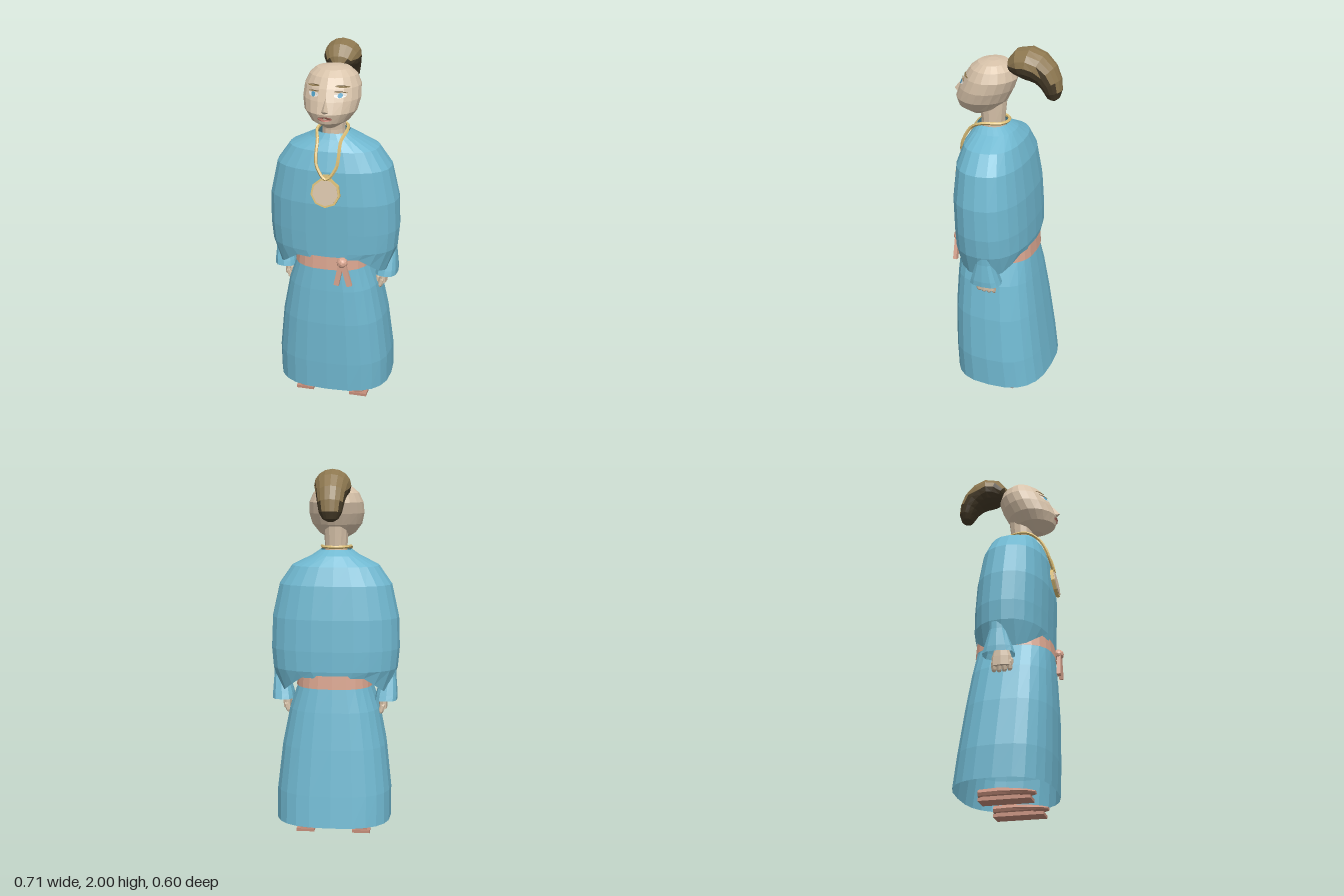
import * as THREE from 'three';

const mat = (name, color, side = THREE.FrontSide) => {
  const m = new THREE.MeshStandardMaterial({ color, side });
  m.name = name;
  return m;
};

// Gives every facet its own normal
function flat(g) {
  const f = g.index ? g.toNonIndexed() : g;
  f.computeVertexNormals();
  return f;
}

// Skins a stack of closed rings, listed from bottom to top
function loft(rings, capStart = false, capEnd = false) {
  const n = rings[0].length, pos = rings.flat().flatMap(p => p.toArray()), idx = [];
  for (let i = 0; i < rings.length - 1; i++) {
    for (let j = 0; j < n; j++) {
      const a = i * n + j, b = i * n + (j + 1) % n;
      idx.push(a, a + n, b, b, a + n, b + n);
    }
  }
  const cap = (ring, start, flip) => {
    const c = ring.reduce((s, p) => s.add(p), new THREE.Vector3()).divideScalar(n);
    const k = pos.length / 3;
    pos.push(c.x, c.y, c.z);
    for (let j = 0; j < n; j++) {
      const a = start + j, b = start + (j + 1) % n;
      if (flip) idx.push(k, b, a); else idx.push(k, a, b);
    }
  };
  if (capStart) cap(rings[0], 0, false);
  if (capEnd) cap(rings[rings.length - 1], (rings.length - 1) * n, true);
  const g = new THREE.BufferGeometry();
  g.setAttribute('position', new THREE.Float32BufferAttribute(pos, 3));
  g.setIndex(idx);
  return flat(g);
}

// Horizontal rounded ring: half width w, from zBack to zFront, roundness p
function ring([y, w, zFront, zBack], n, p, cx = 0) {
  const mid = (zFront + zBack) / 2, d = (zFront - zBack) / 2, out = [];
  for (let j = 0; j < n; j++) {
    const t = (j / n) * Math.PI * 2, c = Math.cos(t), s = Math.sin(t);
    out.push(new THREE.Vector3(
      cx + w * Math.sign(c) * Math.abs(c) ** (2 / p), y,
      mid + d * Math.sign(s) * Math.abs(s) ** (2 / p)));
  }
  return out;
}

// Head rows: y, half width, front z, back z
const HEAD = [
  [1.607, 0.03, 0.2, 0.13], [1.65, 0.1, 0.272, 0.04], [1.7, 0.138, 0.284, 0],
  [1.76, 0.152, 0.262, -0.03], [1.82, 0.148, 0.234, -0.05], [1.87, 0.125, 0.2, -0.035],
  [1.9, 0.09, 0.16, 0.0], [1.911, 0.03, 0.11, 0.05]];
const HEAD_P = 1.85;

// Front surface of the face at x, y
function faceZ(x, y) {
  let i = 0;
  while (i < HEAD.length - 2 && y > HEAD[i + 1][0]) i++;
  const t = (y - HEAD[i][0]) / (HEAD[i + 1][0] - HEAD[i][0]);
  const [, w, f, b] = HEAD[i].map((v, k) => v + (HEAD[i + 1][k] - v) * t);
  return (f + b) / 2 + (f - b) / 2 * Math.max(0, 1 - (Math.abs(x) / w) ** HEAD_P) ** (1 / HEAD_P);
}

export function createModel() {
  const model = new THREE.Group();
  const cloth = mat('blue cloth', 0x70b8d0, THREE.DoubleSide);
  const skin = mat('skin', 0xd8c3aa);
  const sash = mat('salmon sash', 0xd9a58f, THREE.DoubleSide);
  const leather = mat('shoe leather', 0xc48d7a);
  const gold = mat('gold', 0xdcbf78);
  const hairLight = mat('light brown hair', 0x8e7850);
  const hairDark = mat('dark brown hair', 0x463b28);
  const white = mat('eye white', 0xe8e4dc);
  const iris = mat('blue iris', 0x4f9fc4);
  const lips = mat('lips', 0xc07a6c);

  const add = (name, geo, material, parent = model) => {
    const m = new THREE.Mesh(geo, material);
    m.name = name;
    parent.add(m);
    return m;
  };

  // Long skirt, open underneath
  const skirt = [[0.08, 0.318, 0.255, -0.275], [0.25, 0.318, 0.262, -0.252], [0.5, 0.29, 0.265, -0.217],
    [0.7, 0.25, 0.258, -0.187], [0.83, 0.205, 0.25, -0.165], [0.98, 0.2, 0.235, -0.15]];
  add('skirt', loft(skirt.map(r => ring(r, 24, 2.7))), cloth);

  // Sash with knot and two hanging ends
  add('sash', loft([[0.828, 0.212, 0.256, -0.172], [0.9, 0.206, 0.25, -0.166]].map(r => ring(r, 24, 2.7))), sash);
  add('sashKnot', flat(new THREE.IcosahedronGeometry(0.03, 1)), sash).position.set(0.088, 0.88, 0.258);
  for (const [x, tilt] of [[0.07, -0.2], [0.113, 0.27]]) {
    const end = add('sashEnd', flat(new THREE.BoxGeometry(0.028, 0.125, 0.02)), sash);
    end.position.set(x, 0.81, 0.264);
    end.rotation.z = tilt;
  }

  // Draped top, its hem arched over the sash in front and behind
  const top = [[0.79, 0.3, 0.246, -0.16], [0.92, 0.346, 0.247, -0.165], [1.03, 0.356, 0.251, -0.163],
    [1.2, 0.35, 0.257, -0.152], [1.38, 0.31, 0.243, -0.125], [1.48, 0.24, 0.212, -0.09],
    [1.535, 0.13, 0.178, -0.045], [1.565, 0.085, 0.162, 0.0]].map(r => ring(r, 24, 2.4));
  top[0].forEach(p => {
    p.y = THREE.MathUtils.mapLinear(THREE.MathUtils.clamp(Math.abs(p.x), 0.18, 0.285), 0.18, 0.285, 0.885, 0.79);
  });
  add('drapedTop', loft(top), cloth);

  // Neck and head
  const neck = [[1.53, 0.064, 0.145, 0.015], [1.58, 0.062, 0.145, 0.018], [1.69, 0.068, 0.16, 0.005]];
  add('neck', loft(neck.map(r => ring(r, 12, 2))), skin);
  add('head', loft(HEAD.map(r => ring(r, 20, HEAD_P)), true, true), skin);
  const nose = new THREE.BufferGeometry();
  nose.setAttribute('position', new THREE.Float32BufferAttribute([
    0, 1.79, 0.246, -0.024, 1.708, 0.27, 0, 1.722, 0.302, 0.024, 1.708, 0.27, 0, 1.7, 0.278], 3));
  nose.setIndex([0, 1, 2, 0, 2, 3, 1, 4, 2, 4, 3, 2]);
  add('nose', flat(nose), skin);

  // Thin face details draped over the head
  const decal = (name, cx, cy, rx, ry, tilt, lift, material) => {
    const shape = new THREE.Shape().absellipse(cx, cy, rx, ry, 0, Math.PI * 2, false, tilt);
    const g = new THREE.ShapeGeometry(shape, 8), p = g.attributes.position;
    for (let i = 0; i < p.count; i++) p.setZ(i, faceZ(p.getX(i), p.getY(i)) + lift);
    add(name, flat(g), material);
  };
  for (const s of [-1, 1]) {
    decal('eyeWhite', s * 0.07, 1.793, 0.03, 0.013, 0, 0.004, white);
    decal('iris', s * 0.07, 1.793, 0.012, 0.012, 0, 0.006, iris);
    decal('eyelid', s * 0.07, 1.808, 0.033, 0.003, s * -0.1, 0.005, hairLight);
    decal('eyebrow', s * 0.075, 1.832, 0.036, 0.005, s * -0.12, 0.005, hairLight);
  }
  decal('mouth', 0, 1.678, 0.038, 0.013, 0, 0.005, lips);

  // Ponytail swept along a curve; columns: y, z, half width, half depth
  const tail = [[1.87, -0.015, 0.03, 0.02], [1.888, -0.035, 0.068, 0.05], [1.908, -0.075, 0.092, 0.08],
    [1.914, -0.12, 0.098, 0.087], [1.9, -0.165, 0.09, 0.085], [1.868, -0.207, 0.079, 0.074],
    [1.825, -0.235, 0.07, 0.06], [1.78, -0.249, 0.06, 0.047], [1.748, -0.25, 0.042, 0.033],
    [1.733, -0.25, 0.015, 0.015]];
  const tailRings = tail.map(([y, z, w, d], i) => {
    const a = tail[Math.max(0, i - 1)], b = tail[Math.min(tail.length - 1, i + 1)];
    const dir = new THREE.Vector2(b[0] - a[0], b[1] - a[1]).normalize();
    return Array.from({ length: 16 }, (_, j) => {
      const t = j / 16 * Math.PI * 2, v = Math.sin(t) * d;
      return new THREE.Vector3(Math.cos(t) * w, y - dir.y * v, z + dir.x * v);
    });
  });
  // Light strands on top, dark ones underneath
  const hair = loft(tailRings, true, true), hp = hair.attributes.position.array, hn = hair.attributes.normal.array;
  const strands = { upper: [], under: [] };
  for (let i = 0; i < hp.length; i += 9) {
    strands[hn[i + 1] > 0.05 ? 'upper' : 'under'].push(...hp.slice(i, i + 9));
  }
  for (const [key, material] of [['upper', hairLight], ['under', hairDark]]) {
    const g = new THREE.BufferGeometry();
    g.setAttribute('position', new THREE.Float32BufferAttribute(strands[key], 3));
    add(key + 'Ponytail', flat(g), material);
  }

  // Necklace chain around the neck and its round pendant
  const half = [[0.052, 1.41, 0.245], [0.06, 1.46, 0.23], [0.062, 1.535, 0.186], [0.08, 1.575, 0.12], [0.055, 1.58, 0.02]];
  const loop = [[0, 1.345, 0.26], ...half, [0, 1.58, -0.005], ...half.map(([x, y, z]) => [-x, y, z]).reverse()];
  const chain = new THREE.CatmullRomCurve3(loop.map(p => new THREE.Vector3(...p)), true);
  add('necklace', flat(new THREE.TubeGeometry(chain, 48, 0.009, 5, true)), gold);
  const pendant = new THREE.Group();
  pendant.name = 'pendant';
  pendant.position.set(0, 1.275, 0.264);
  pendant.rotation.x = Math.PI / 2 - 0.15;
  add('pendantRim', flat(new THREE.CylinderGeometry(0.08, 0.08, 0.018, 9)), gold, pendant);
  add('pendantFace', flat(new THREE.CylinderGeometry(0.069, 0.069, 0.006, 9)), skin, pendant).position.y = 0.01;
  add('pendantLoop', flat(new THREE.BoxGeometry(0.03, 0.016, 0.024)), gold, pendant).position.z = -0.084;
  model.add(pendant);

  for (const s of [-1, 1]) {
    // Flared sleeve end
    const sleeve = [[0.745, 0.062, 0.102, -0.072], [0.775, 0.06, 0.094, -0.062], [0.875, 0.042, 0.062, -0.03], [0.96, 0.035, 0.055, -0.025]];
    add('sleeve', loft(sleeve.map(r => ring(r, 12, 2.8, s * (0.285 + (r[0] - 0.745) * 0.1)))), cloth);

    // Hand with curled fingers and thumb
    const hand = new THREE.Group();
    hand.name = 'hand';
    hand.position.set(s * 0.268, 0.72, 0.025);
    const palm = [[-0.03, 0.022, 0.055, -0.055], [0.02, 0.024, 0.054, -0.052], [0.09, 0.022, 0.03, -0.03]];
    add('palm', loft(palm.map(r => ring(r, 8, 2.4)), true, true), skin, hand);
    for (let i = 0; i < 4; i++) {
      const finger = add('finger', flat(new THREE.CapsuleGeometry(0.0145, 0.035, 2, 6)), skin, hand);
      finger.position.set(s * -0.006, -0.032 + Math.abs(i - 1.5) * 0.004, -0.042 + i * 0.028);
      finger.rotation.z = s * -0.35;
    }
    const thumb = add('thumb', flat(new THREE.CapsuleGeometry(0.013, 0.04, 2, 6)), skin, hand);
    thumb.position.set(s * -0.026, -0.008, 0.046);
    thumb.rotation.z = s * -0.3;
    model.add(hand);

    // Shoe, lofted from heel to toe (z, half width, low y, high y), on a flat sole
    const shoe = [[-0.115, 0.042, 0.02, 0.07], [-0.02, 0.046, 0.02, 0.074], [0.07, 0.05, 0.02, 0.066],
      [0.14, 0.044, 0.024, 0.056], [0.176, 0.02, 0.03, 0.048]];
    const shoeRings = shoe.map(([z, w, lo, hi]) => Array.from({ length: 10 }, (_, j) => {
      const t = -j / 10 * Math.PI * 2;
      return new THREE.Vector3(s * 0.155 + w * Math.cos(t), (lo + hi) / 2 + (hi - lo) / 2 * Math.sin(t), z);
    }));
    add('shoe', loft(shoeRings, true, true), leather);
    add('sole', flat(new THREE.BoxGeometry(0.1, 0.016, 0.27)), leather).position.set(s * 0.155, 0.008, 0.023);
    add('soleStrap', flat(new THREE.BoxGeometry(0.06, 0.016, 0.2)), leather).position.set(s * 0.155, 0.018, 0.0);
  }
  return model;
}
